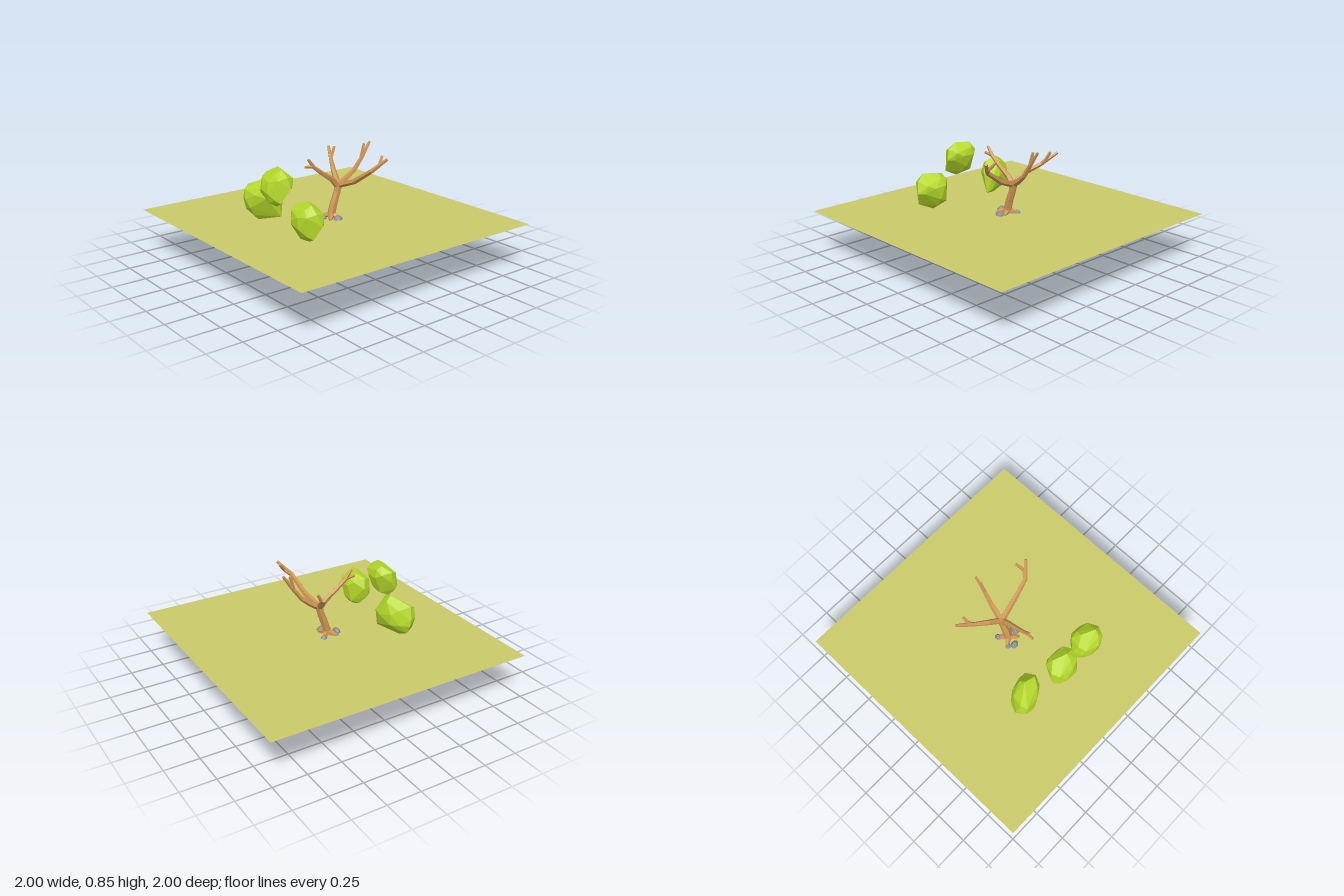
import * as THREE from 'three';
import { ConvexGeometry } from 'three/addons/geometries/ConvexGeometry.js';

const paint = (color, extra = {}) => new THREE.MeshStandardMaterial({ color, flatShading: true, ...extra });
const leafMat = paint(0xb5d82a);
const barkMat = paint(0xcd9655);
const rockMat = paint(0x8c8c94);
const groundMat = paint(0xc9c96a, { side: THREE.DoubleSide });
const GROUND = 0.33;

function add(group, name, geometry, material) {
  const mesh = new THREE.Mesh(geometry, material);
  mesh.name = name;
  group.add(mesh);
  return mesh;
}

// Tapered low-poly limb through stations [x, y, z, radius], closed at both ends
function limb(stations, sides = 5) {
  const pts = stations.map(s => new THREE.Vector3(s[0], s[1], s[2]));
  const span = pts[pts.length - 1].clone().sub(pts[0]);
  const ref = Math.abs(span.x) < 0.1 ? new THREE.Vector3(1, 0, 0) : new THREE.Vector3(0, 0, 1);
  const pos = [], idx = [];
  pts.forEach((p, i) => {
    const t = pts[Math.min(i + 1, pts.length - 1)].clone().sub(pts[Math.max(i - 1, 0)]).normalize();
    const u = t.clone().cross(ref).normalize();
    const v = t.clone().cross(u);
    for (let k = 0; k < sides; k++) {
      const a = (k / sides) * Math.PI * 2, r = stations[i][3];
      const q = p.clone().addScaledVector(u, Math.cos(a) * r).addScaledVector(v, Math.sin(a) * r);
      pos.push(q.x, q.y, q.z);
    }
  });
  const last = (pts.length - 1) * sides;
  for (let k = 0; k < sides; k++) {
    const n = (k + 1) % sides;
    for (let r = 0; r < last; r += sides) {
      idx.push(r + k, r + n, r + sides + k, r + n, r + sides + n, r + sides + k);
    }
    if (k > 0 && k < sides - 1) idx.push(0, k + 1, k, last, last + k, last + k + 1);
  }
  const g = new THREE.BufferGeometry();
  g.setAttribute('position', new THREE.Float32BufferAttribute(pos, 3));
  g.setIndex(idx);
  g.computeVertexNormals();
  return g;
}

// Faceted boulder-like bush: a front outline, bulged forward and back about a tilted mid plane
function bush({ outline, z, depth, tiltX = 0, tiltY = 0 }) {
  const n = outline.length;
  const cx = outline.reduce((s, p) => s + p[0], 0) / n;
  const cy = outline.reduce((s, p) => s + p[1], 0) / n;
  const points = [];
  const put = (i, scale, dz) => {
    const dx = (outline[i][0] - cx) * scale, dy = (outline[i][1] - cy) * scale;
    points.push(new THREE.Vector3(cx + dx, cy + dy, z + tiltX * dx + tiltY * dy + dz * depth));
  };
  for (let i = 0; i < n; i++) {
    put(i, 1, 0.28 * Math.sin(i * 2.3));
    if (i % 3 !== 2) put(i, 0.76, 0.68 + 0.08 * Math.sin(i * 1.7));
    if (i % 3 !== 0) put(i, 0.76, -0.68 + 0.08 * Math.sin(i * 2.9));
    if (i % 3 === 0) put(i, 0.36, 1);
    if (i % 3 === 1) put(i, 0.4, -1);
  }
  return new ConvexGeometry(points);
}

// Small flattened stone
function stone(rx, ry, rz, seed) {
  const points = [];
  [[-0.95, 0.5], [-0.25, 1], [0.35, 0.9], [1, 0.4]].forEach(([h, r], j) => {
    for (let k = 0; k < 6; k++) {
      const a = (k + j * 0.5) * Math.PI / 3 + seed;
      const w = r * (0.93 + 0.07 * Math.sin(k * 2.1 + seed * 3));
      points.push(new THREE.Vector3(Math.cos(a) * rx * w, h * ry, Math.sin(a) * rz * w));
    }
  });
  return new ConvexGeometry(points);
}

export function createModel() {
  const model = new THREE.Group();
  model.name = 'treeScene';

  // Ground sheet
  const ground = add(model, 'ground', new THREE.PlaneGeometry(2, 2), groundMat);
  ground.rotation.x = -Math.PI / 2;
  ground.position.y = GROUND;

  // Tree
  const tree = new THREE.Group();
  tree.name = 'tree';
  model.add(tree);
  add(tree, 'trunk', limb([
    [0, 0.322, 0, 0.034], [0, 0.36, -0.005, 0.031], [0, 0.43, -0.025, 0.029],
    [0, 0.51, -0.055, 0.027], [0, 0.585, -0.072, 0.03]], 6), barkMat);
  const limbs = {
    frontBranch: [[0, 0.55, -0.065, 0.024], [0, 0.61, -0.01, 0.021], [0, 0.67, 0.08, 0.017], [0, 0.735, 0.165, 0.013]],
    frontUpperTwig: [[0, 0.725, 0.15, 0.013], [0, 0.79, 0.203, 0.01]],
    frontLowerTwig: [[0, 0.728, 0.15, 0.013], [0, 0.74, 0.23, 0.01]],
    backBranch: [[0, 0.56, -0.065, 0.025], [0.01, 0.6, -0.13, 0.022], [0.02, 0.65, -0.195, 0.018],
      [0.03, 0.745, -0.265, 0.015], [0.03, 0.848, -0.335, 0.01]],
    backTwig: [[0.028, 0.735, -0.255, 0.013], [0.025, 0.84, -0.285, 0.01]],
    rightBranch: [[0, 0.56, -0.065, 0.024], [-0.1, 0.645, -0.1, 0.02], [-0.19, 0.69, -0.15, 0.016], [-0.3, 0.767, -0.21, 0.011]],
    rightTwig: [[-0.19, 0.69, -0.15, 0.014], [-0.215, 0.72, -0.175, 0.013], [-0.226, 0.782, -0.21, 0.01]],
    leftBranch: [[0, 0.56, -0.065, 0.024], [0.15, 0.615, -0.095, 0.021], [0.3, 0.715, -0.12, 0.017], [0.38, 0.805, -0.195, 0.011]],
    leftTwig: [[0.3, 0.71, -0.12, 0.014], [0.33, 0.75, -0.165, 0.013], [0.304, 0.81, -0.215, 0.01]],
  };
  for (const [name, stations] of Object.entries(limbs)) add(tree, name, limb(stations), barkMat);

  // Low roots spreading from the trunk
  [[-0.065, 0.04], [0.06, 0.055], [0.06, -0.04], [-0.05, -0.06]].forEach(([x, z]) =>
    add(tree, 'root', limb([[0, 0.35, 0, 0.026], [x * 0.6, 0.338, z * 0.6, 0.02], [x, 0.329, z, 0.011]]), barkMat));

  // Stones around the roots: x, y, z, half sizes
  [[0.075, 0.328, -0.005, 0.038, 0.028, 0.04], [-0.05, 0.33, -0.055, 0.027, 0.021, 0.028],
    [-0.05, 0.327, 0.045, 0.026, 0.02, 0.026], [-0.01, 0.336, 0.072, 0.036, 0.024, 0.03]]
    .forEach(([x, y, z, rx, ry, rz], i) =>
      add(model, 'stone', stone(rx, ry, rz, i * 1.3), rockMat).position.set(x, y, z));

  // Bushes in front of the tree
  const bushes = {
    rightBush: {
      outline: [[-0.4, 0.49], [-0.37, 0.58], [-0.24, 0.64], [-0.155, 0.61], [-0.12, 0.52],
        [-0.125, 0.37], [-0.28, 0.33], [-0.375, 0.38], [-0.4, 0.44]], z: 0.42, depth: 0.095, tiltX: -0.3 },
    upperBush: {
      outline: [[-0.1, 0.66], [-0.095, 0.735], [-0.03, 0.775], [0.07, 0.78], [0.14, 0.735], [0.16, 0.66],
        [0.13, 0.56], [0.05, 0.52], [-0.05, 0.535], [-0.1, 0.6]], z: 0.49, depth: 0.09, tiltY: -0.2 },
    leftBush: {
      outline: [[0.19, 0.5], [0.22, 0.575], [0.295, 0.6], [0.395, 0.605], [0.445, 0.55], [0.47, 0.47],
        [0.43, 0.375], [0.33, 0.33], [0.24, 0.365], [0.195, 0.43]], z: 0.453, depth: 0.1, tiltX: 0.05 },
    lowerBush: {
      outline: [[-0.17, 0.155], [-0.145, 0.24], [-0.07, 0.295], [0.06, 0.3], [0.13, 0.25], [0.185, 0.145],
        [0.12, 0.03], [0.02, 0], [-0.075, 0.01], [-0.145, 0.075]], z: 0.457, depth: 0.105, tiltY: -0.4 },
  };
  for (const [name, spec] of Object.entries(bushes)) add(model, name, bush(spec), leafMat);

  return model;
}
